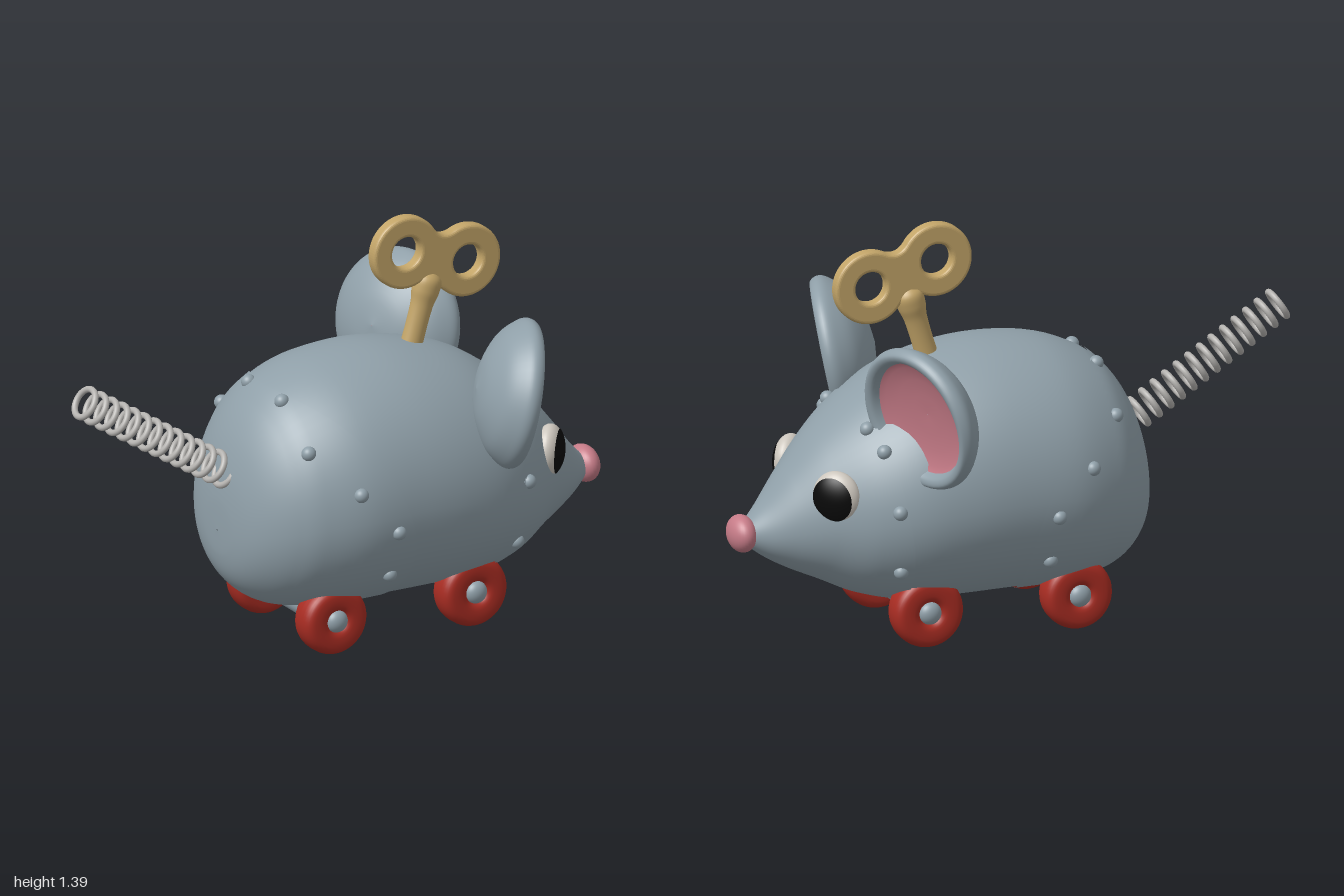
import * as THREE from 'three';
import { ParametricGeometry } from 'three/addons/geometries/ParametricGeometry.js';

const mat = (name, color, side = THREE.FrontSide) => {
  const m = new THREE.MeshStandardMaterial({ color, side });
  m.name = name;
  return m;
};

// Body cross-sections from rump to snout: x, top y, bottom y, half width
const STATIONS = [
  [-0.455, 0.422, 0.418, 0.002], [-0.45, 0.535, 0.33, 0.1], [-0.43, 0.645, 0.262, 0.185],
  [-0.39, 0.75, 0.208, 0.26], [-0.33, 0.838, 0.165, 0.326], [-0.25, 0.905, 0.14, 0.38],
  [-0.1, 0.962, 0.122, 0.432], [0.1, 0.98, 0.12, 0.442], [0.28, 0.957, 0.12, 0.435],
  [0.44, 0.905, 0.13, 0.405], [0.58, 0.815, 0.165, 0.34], [0.7, 0.712, 0.22, 0.245],
  [0.8, 0.597, 0.265, 0.165], [0.88, 0.495, 0.31, 0.1], [0.95, 0.42, 0.365, 0.035],
  [0.96, 0.397, 0.393, 0.002],
];
const LAST = STATIONS.length - 1;
const SHELL = 0.012;

// Smooth cross-section at a fractional station index
function section(s) {
  const i = Math.min(Math.max(Math.floor(s), 0), LAST - 1), f = s - i;
  const at = (k) => STATIONS[Math.min(Math.max(k, 0), LAST)];
  const [a, b, c, d] = [at(i - 1), at(i), at(i + 1), at(i + 2)];
  return b.map((p, k) => p + 0.5 * f * (c[k] - a[k]
    + f * (2 * a[k] - 5 * p + 4 * c[k] - d[k] + f * (3 * (p - c[k]) + d[k] - a[k]))));
}

// Station index of a given x
function stationAt(x) {
  let lo = 0, hi = LAST;
  for (let n = 0; n < 30; n++) {
    const m = (lo + hi) / 2;
    if (section(m)[0] < x) lo = m; else hi = m;
  }
  return lo;
}

// Skin point at a station and an angle measured from the top
function skin(s, angle, grow, target) {
  const [x, top, bottom, half] = section(s);
  const mid = bottom + 0.47 * (top - bottom), c = Math.cos(angle), g = 1 + grow;
  return target.set(x, mid + g * c * (c > 0 ? top - mid : mid - bottom), g * half * Math.sin(angle));
}

const headSeam = (a) => 0.5 + 0.06 * Math.cos(a);
const rumpSeam = (a) => 0.03 - 0.155 * Math.cos(a) - 0.145 * Math.cos(a) ** 2;

// Raised panel from a seam to one end of the body
function panel(seam, toNose) {
  const cache = new Map();
  const start = (a) => {
    if (!cache.has(a)) cache.set(a, stationAt(seam(a)));
    return cache.get(a);
  };
  return new ParametricGeometry((u, v, t) => {
    const a = u * Math.PI * 2, w = toNose ? v : 1 - v, s = start(a);
    skin(s + ((toNose ? LAST : 0) - s) * w, a, SHELL, t);
  }, 64, 40);
}

export function createModel() {
  const model = new THREE.Group();
  model.name = 'windUpMouse';
  const grey = mat('blueGrey', 0x8f9fa8), pink = mat('pink', 0xc57b87, THREE.DoubleSide);
  const brass = mat('brass', 0xc2a468), red = mat('red', 0xa82c22);
  const steel = mat('steel', 0xb4b2af), white = mat('eyeWhite', 0xcdc7be), black = mat('black', 0x0a0a0a);

  const add = (name, geometry, material, parent = model) => {
    const mesh = new THREE.Mesh(geometry, material);
    mesh.name = name;
    parent.add(mesh);
    return mesh;
  };
  const group = (name, parent = model) => {
    const g = new THREE.Group();
    g.name = name;
    parent.add(g);
    return g;
  };

  // Body shell with overlapping head and rump panels
  add('body', new ParametricGeometry((u, v, t) => skin(v * LAST, u * Math.PI * 2, 0, t), 64, 72), grey);
  add('headPanel', panel(headSeam, true), grey);
  add('rumpPanel', panel(rumpSeam, false), grey);

  // Rivets beside both seams: x and angle from the top
  const rivets = group('rivets'), ball = new THREE.SphereGeometry(1, 32, 24);
  for (const [x, a] of [
    [0.575, 0.55], [0.55, 0.86], [0.53, 1.45], [0.51, 2.13],
    [-0.27, 0.3], [-0.27, 0.89], [-0.14, 1.34], [-0.01, 1.71], [-0.005, 2.17],
  ]) for (const side of [1, -1]) {
    const rivet = add('rivet', ball, grey, rivets);
    skin(stationAt(x), a * side, 0, rivet.position);
    rivet.scale.setScalar(0.025);
  }

  const nose = add('nose', ball, pink);
  nose.position.set(0.953, 0.395, 0);
  nose.scale.set(0.047, 0.063, 0.077);

  // Ear bowl: domed back, rolled rim, shallow pink dish
  const v2 = (x, y) => new THREE.Vector2(x, y);
  const earShell = new THREE.LatheGeometry(new THREE.SplineCurve([
    v2(0.001, -0.14), v2(0.1, -0.125), v2(0.19, -0.083), v2(0.24, -0.03),
    v2(0.253, 0.005), v2(0.238, 0.032), v2(0.213, 0.027), v2(0.198, 0),
  ]).getPoints(36), 56);
  const earDish = new THREE.LatheGeometry([
    v2(0.202, 0.004), v2(0.18, -0.01), v2(0.13, -0.022), v2(0.07, -0.029), v2(0.001, -0.031),
  ], 56);
  const up = new THREE.Vector3(0, 1, 0);
  const pupilCap = new THREE.SphereGeometry(1.03, 40, 16, 0, Math.PI * 2, 0, 1);

  for (const side of [1, -1]) {
    const ear = group(side > 0 ? 'leftEar' : 'rightEar');
    add('earShell', earShell, grey, ear);
    add('earLining', earDish, pink, ear);
    ear.position.set(0.468, 0.857, 0.392 * side);
    ear.quaternion.setFromUnitVectors(up, new THREE.Vector3(0.92, -0.2, 0.34 * side).normalize());

    // Flattened eye with the pupil turned forward
    const eye = group(side > 0 ? 'leftEye' : 'rightEye');
    eye.position.set(0.697, 0.557, 0.214 * side);
    eye.rotation.y = -side * 0.74;
    eye.scale.set(0.05, 0.088, 0.085);
    add('eyeball', ball, white, eye);
    add('pupil', pupilCap, black, eye).quaternion
      .setFromUnitVectors(up, new THREE.Vector3(0.98, -0.08, -0.08 * side).normalize());
  }

  // Wheels on axles, tyres with a rounded square section
  const power = (t) => Math.sign(t) * Math.abs(t) ** 0.7;
  for (const [name, x, r] of [['rear', -0.15, 0.121], ['front', 0.385, 0.124]]) {
    const axle = group(name + 'Axle');
    axle.position.set(x, r + 0.004, 0);
    for (const [part, radius, length] of [['axleRod', 0.036, 0.5], ['axleSleeve', 0.046, 0.26]])
      add(part, new THREE.CylinderGeometry(radius, radius, length, 32), grey, axle).rotation.x = Math.PI / 2;
    const tyre = [];
    for (let i = 0; i <= 32; i++) {
      const a = i / 32 * Math.PI * 2;
      tyre.push(v2(r - 0.047 + 0.047 * power(Math.cos(a)), 0.056 * power(Math.sin(a))));
    }
    const tyreGeometry = new THREE.LatheGeometry(tyre, 48);
    for (const side of [1, -1]) {
      const wheel = add('wheel', tyreGeometry, red, axle);
      wheel.position.z = 0.226 * side;
      wheel.rotation.x = Math.PI / 2;
      const hub = add('hub', ball, grey, axle);
      hub.position.z = 0.265 * side;
      hub.scale.set(0.039, 0.039, 0.03);
    }
  }

  // Wind-up key: double-ring bow on a flared shaft
  const key = group('windUpKey');
  key.position.set(0.38, 1.236, 0);
  key.rotation.z = -0.29;
  const bow = new THREE.Shape(), cx = 0.1225, R = 0.126, deg = Math.PI / 180;
  bow.absarc(-cx, 0, R, 50 * deg, 310 * deg, false);
  bow.quadraticCurveTo(0, -0.06, cx - R * Math.cos(50 * deg), -R * Math.sin(50 * deg));
  bow.absarc(cx, 0, R, -130 * deg, 130 * deg, false);
  bow.quadraticCurveTo(0, 0.06, -cx + R * Math.cos(50 * deg), R * Math.sin(50 * deg));
  for (const s of [1, -1]) bow.holes.push(new THREE.Path().absarc(cx * s, 0, 0.055, 0, Math.PI * 2, true));
  const bowGeometry = new THREE.ExtrudeGeometry(bow, {
    depth: 0.026, bevelThickness: 0.012, bevelSize: 0.012, bevelOffset: -0.012, bevelSegments: 4, curveSegments: 32,
  });
  bowGeometry.translate(0, 0, -0.013);
  add('keyBow', bowGeometry, brass, key);
  const shaft = add('keyShaft', new THREE.LatheGeometry(new THREE.SplineCurve([
    v2(0.036, -0.34), v2(0.034, -0.25), v2(0.036, -0.17), v2(0.044, -0.12), v2(0.04, -0.075), v2(0.001, -0.04),
  ]).getPoints(30), 32), brass, key);
  shaft.scale.x = 1.1;

  // Spring tail: a row of coils square to the tail axis
  const tail = group('springTail'), coil = new THREE.TorusGeometry(0.05, 0.011, 12, 40);
  const from = new THREE.Vector3(-0.425, 0.622, 0), to = new THREE.Vector3(-0.962, 0.963, 0);
  const axis = to.clone().sub(from).normalize(), coils = 14;
  for (let i = 0; i < coils; i++) {
    const ring = add('coil', coil, steel, tail);
    ring.position.lerpVectors(from, to, i / (coils - 1));
    ring.quaternion.setFromUnitVectors(new THREE.Vector3(0, 0, 1), axis);
  }

  return model;
}
